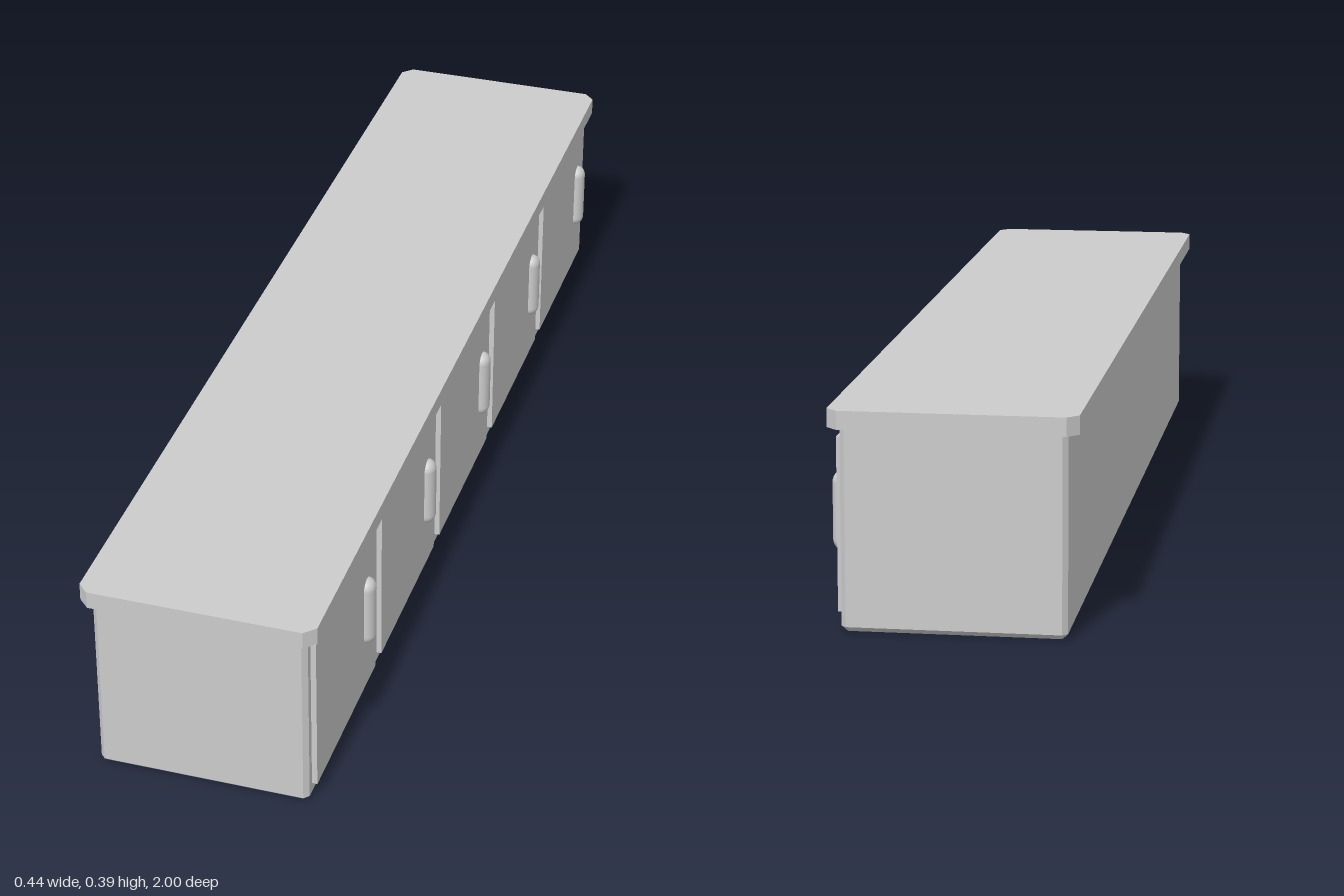
import * as THREE from 'three';

const material = new THREE.MeshStandardMaterial({ color: 0xcccccc });

// Upright block with cut vertical corners, and optionally bevelled ends
function chamferedBlock(x0, x1, z0, z1, y0, y1, cut, bevel = 0) {
  const shape = new THREE.Shape([
    [x0 + cut, -z1], [x1 - cut, -z1], [x1, -z1 + cut], [x1, -z0 - cut],
    [x1 - cut, -z0], [x0 + cut, -z0], [x0, -z0 - cut], [x0, -z1 + cut],
  ].map(([x, y]) => new THREE.Vector2(x, y)));
  const geometry = new THREE.ExtrudeGeometry(shape, {
    depth: y1 - y0 - 2 * bevel,
    bevelEnabled: bevel > 0,
    bevelThickness: bevel,
    bevelSize: bevel,
    bevelOffset: -bevel,
    bevelSegments: 1,
  });
  geometry.translate(0, 0, bevel);
  geometry.rotateX(-Math.PI / 2);
  geometry.translate(0, y0, 0);
  return geometry;
}

export function createModel() {
  const model = new THREE.Group();
  model.name = 'lowCabinet';

  const add = (name, geometry, parent = model) => {
    const mesh = new THREE.Mesh(geometry, material);
    mesh.name = name;
    parent.add(mesh);
    return mesh;
  };

  // Cabinet body; its upper bevel is hidden inside the countertop
  add('body', chamferedBlock(-0.2, 0.191, -0.981, 0.981, 0.002, 0.372, 0.009, 0.009));

  // Overhanging countertop
  add('countertop', chamferedBlock(-0.22, 0.211, -1, 1, 0.36, 0.393, 0.02));

  // Row of five doors along the +x side, each with a rounded pull
  const doorGeometry = new THREE.BoxGeometry(0.02, 0.308, 0.351);
  const handleGeometry = new THREE.CapsuleGeometry(0.02, 0.101, 8, 24);
  handleGeometry.scale(0.85, 1, 1);
  for (let i = 0; i < 5; i++) {
    const door = new THREE.Group();
    door.name = `door${i + 1}`;
    door.position.set(0.191, 0.184, 0.783 - i * 0.39);
    add('doorPanel', doorGeometry, door);
    add('handle', handleGeometry, door).position.set(0.01, 0.013, -0.124);
    model.add(door);
  }

  return model;
}
